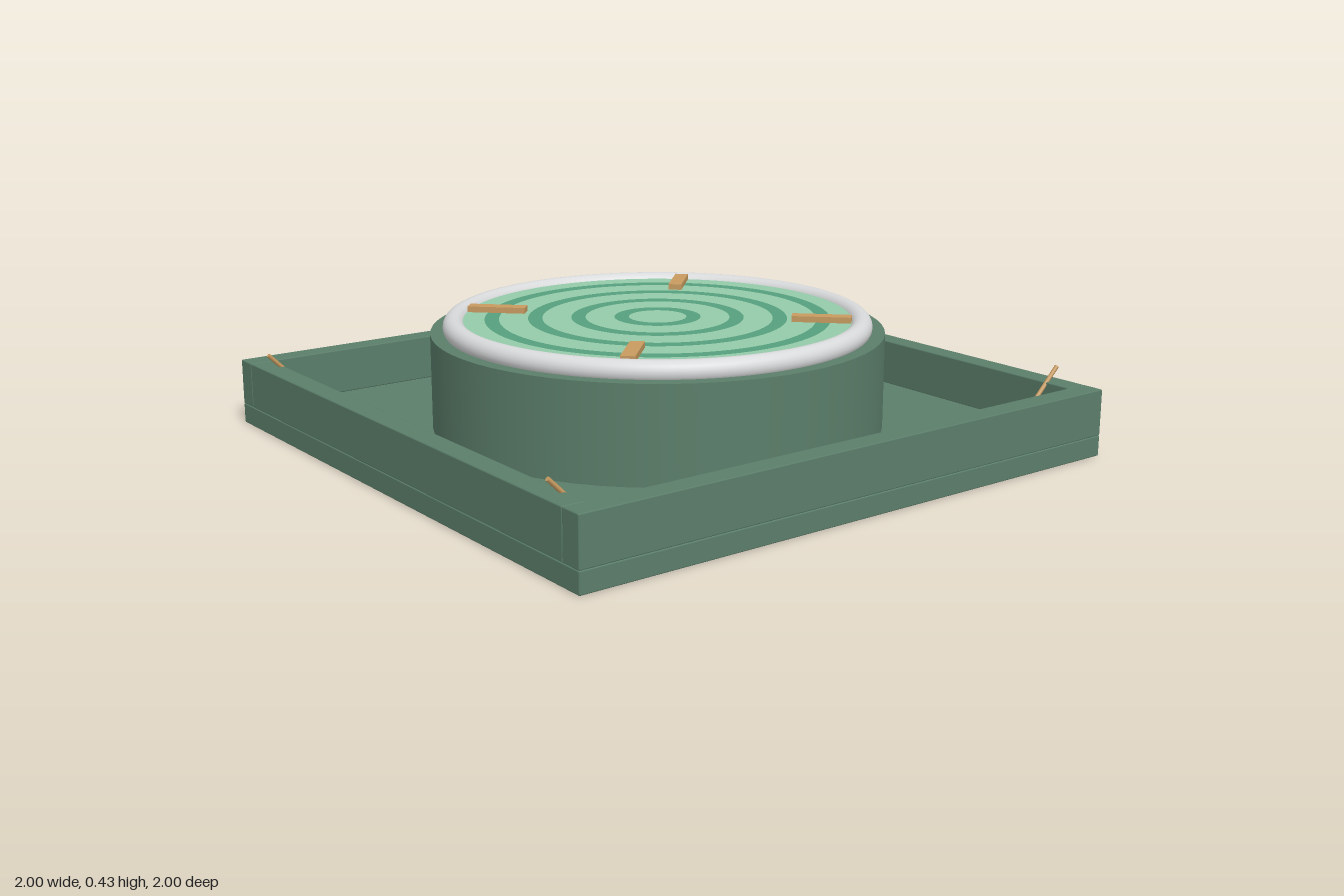
import * as THREE from 'three';
import { RoundedBoxGeometry } from 'three/addons/geometries/RoundedBoxGeometry.js';

const material = (name, color) => {
  const m = new THREE.MeshStandardMaterial({ color });
  m.name = name;
  return m;
};

export function createModel() {
  const model = new THREE.Group();
  const green = material('mossGreen', 0x5b7e6a);
  const silver = material('silver', 0xd8d9da);
  const mint = material('mint', 0x95cba9);
  const jade = material('jade', 0x55a07e);
  const copper = material('copper', 0xc89b60);
  const brass = material('brass', 0xcab37d);

  const add = (name, geometry, mat, x, y, z, parent = model) => {
    const mesh = new THREE.Mesh(geometry, mat);
    mesh.name = name;
    mesh.position.set(x, y, z);
    parent.add(mesh);
    return mesh;
  };
  const slab = (w, h, d) => new RoundedBoxGeometry(w, h, d, 1, 0.004);

  // Square tray: floor and four rim walls
  add('trayFloor', slab(2, 0.067, 2), green, 0, 0.0335, 0);
  for (const s of [-1, 1]) {
    add(s > 0 ? 'frontWall' : 'backWall', slab(2, 0.151, 0.075), green, 0, 0.1425, s * 0.9625);
    add(s > 0 ? 'leftWall' : 'rightWall', slab(0.075, 0.151, 1.85), green, s * 0.9625, 0.1425, 0);
  }

  // Round housing and the rolled ring on top
  add('drum', new THREE.CylinderGeometry(0.73, 0.73, 0.311, 64), green, 0, 0.2195, 0);
  const ring = add('rimRing', new THREE.TorusGeometry(0.655, 0.035, 20, 96), silver, 0, 0.393, 0);
  ring.rotation.x = Math.PI / 2;

  // Membrane of alternating concentric bands
  const membrane = new THREE.Group();
  membrane.name = 'membrane';
  model.add(membrane);
  const band = (name, inner, outer, mat) => {
    const geometry = inner > 0 ? new THREE.RingGeometry(inner, outer, 96) : new THREE.CircleGeometry(outer, 96);
    add(name, geometry, mat, 0, 0.41, 0, membrane).rotation.x = -Math.PI / 2;
  };
  const step = 0.139, width = 0.046;
  for (let i = 0; i < 5; i++) {
    const outer = i < 4 ? (i + 1) * step - width : 0.635;
    band('lightBand', i * step, outer, mint);
    if (i < 4) band('darkBand', outer, (i + 1) * step, jade);
  }

  // Diagonal clips on the membrane
  for (let i = 0; i < 4; i++) {
    const a = Math.PI / 4 + i * Math.PI / 2;
    const clip = add('clip', new THREE.BoxGeometry(0.19, 0.03, 0.045), copper,
      Math.cos(a) * 0.528, 0.414, Math.sin(a) * 0.528);
    clip.rotation.y = -a;
  }

  // Corner terminals: square pad, short post and slanted pin
  for (const sx of [-1, 1]) {
    for (const sz of [-1, 1]) {
      const terminal = new THREE.Group();
      terminal.name = 'cornerTerminal';
      terminal.position.set(sx * 0.83, 0, sz * 0.83);
      model.add(terminal);
      add('pad', new THREE.BoxGeometry(0.105, 0.02, 0.105), brass, 0, 0.077, 0, terminal);
      add('post', new THREE.CylinderGeometry(0.007, 0.007, 0.04, 8), copper, 0, 0.1, 0, terminal);
      const pin = add('pin', new THREE.CylinderGeometry(0.007, 0.007, 0.21, 8), copper,
        sx * 0.074, 0.188, 0, terminal);
      pin.rotation.z = -sx * Math.PI / 4;
    }
  }
  return model;
}
